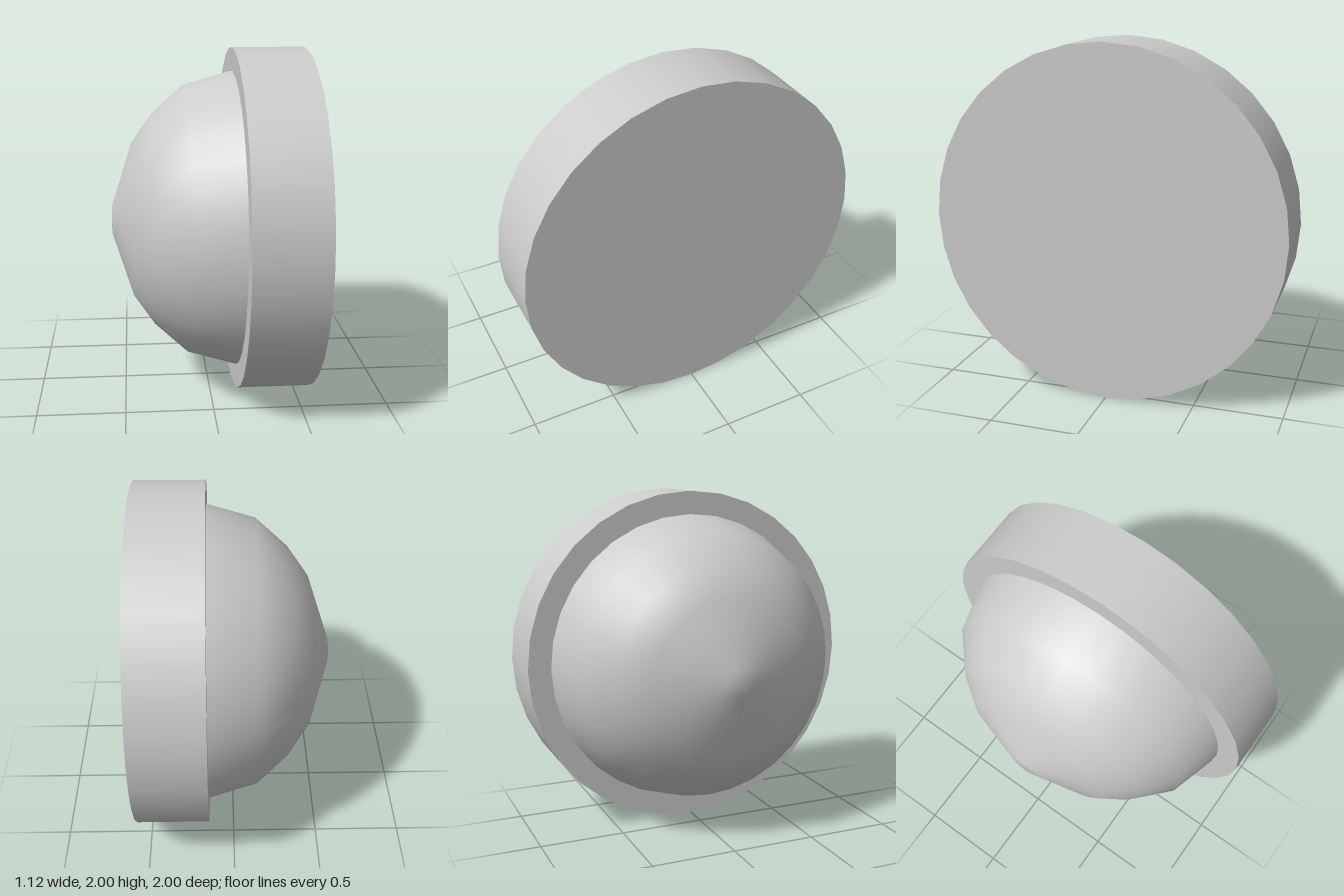
import * as THREE from 'three';

const SIDES = 32;

export function createModel() {
  const group = new THREE.Group();
  const material = new THREE.MeshStandardMaterial({ color: 0xcccccc });

  // Both parts are turned about the x axis, with local +y pointing to -x
  const add = (name, geometry, x) => {
    const mesh = new THREE.Mesh(geometry, material);
    mesh.name = name;
    mesh.rotation.z = Math.PI / 2;
    mesh.position.set(x, 1, 0);
    group.add(mesh);
  };

  // Thick disc with sharp rims
  add('baseDisc', new THREE.CylinderGeometry(1, 1, 0.415, SIDES), 0.3525);

  // Smooth dome, as [radius, height] from the disc to the small flat tip
  const profile = [
    [0.865, -0.145], [0.785, 0.135], [0.62, 0.32],
    [0.45, 0.44], [0.08, 0.56], [0, 0.56],
  ].map(([r, h]) => new THREE.Vector2(r, h));
  add('dome', new THREE.LatheGeometry(profile, SIDES), 0);

  return group;
}
